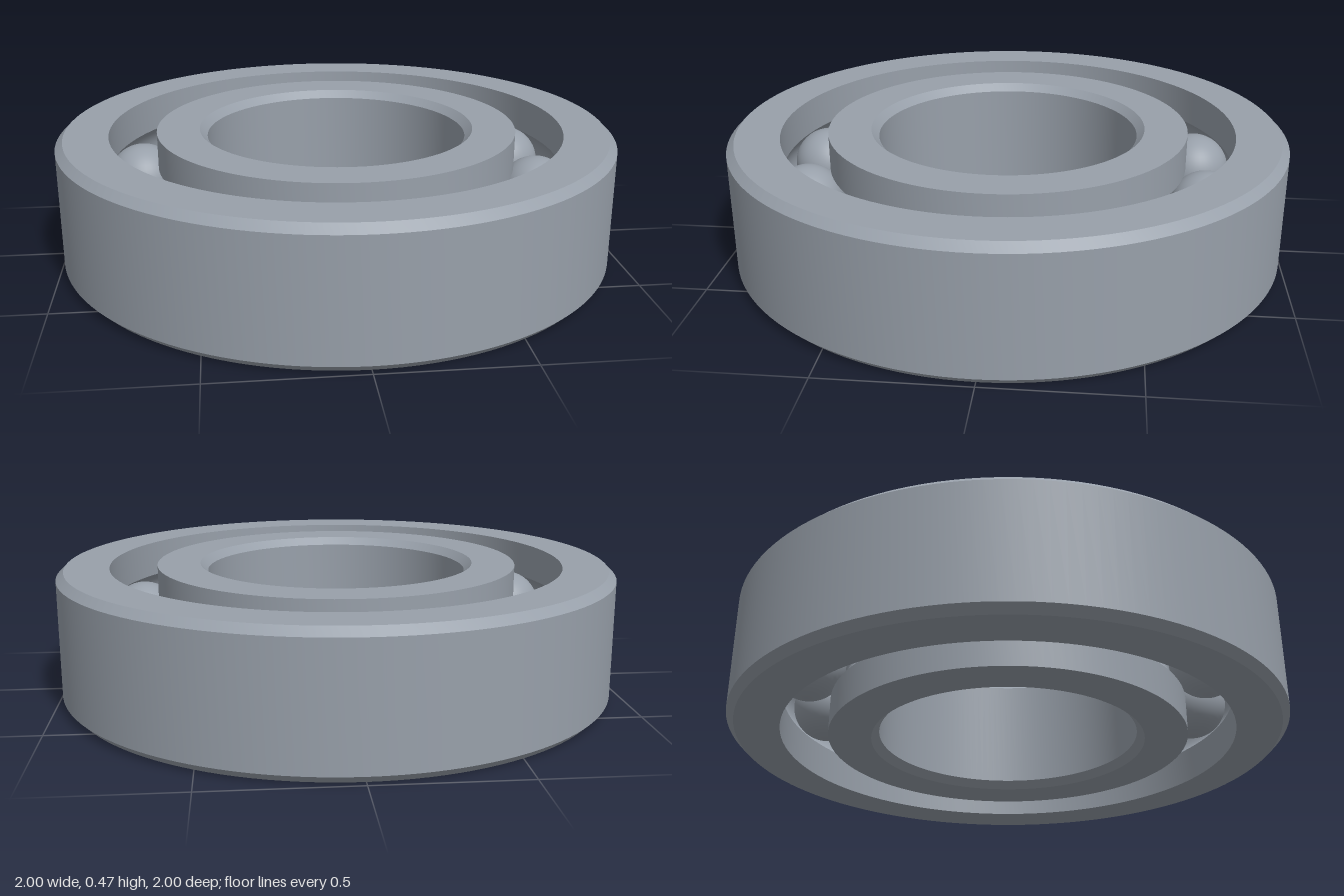
import * as THREE from 'three';
import { toCreasedNormals } from 'three/addons/utils/BufferGeometryUtils.js';

const HEIGHT = 0.467, MID = HEIGHT / 2;
const CHAMFER = 0.027;
const PITCH = 0.731;        // radius of the circle of ball centres
const BALL = 0.13;
const GROOVE = 0.133;       // raceway radius, slightly larger than the balls
const GAP = 0.084;          // half the space between the two rings
const BALL_COUNT = 12;

// Raceway arc from one ring edge to the other, about the ball centre
function raceway(facing) {
  const half = Math.acos(GAP / GROOVE), points = [], steps = 14;
  for (let i = 0; i <= steps; i++) {
    const a = facing + half - (2 * half * i) / steps;
    points.push([PITCH + GROOVE * Math.cos(a), MID + GROOVE * Math.sin(a)]);
  }
  return points;
}

// Turned ring from a closed anticlockwise profile, with sharp edges kept
function ring(name, profile, material) {
  const points = [...profile, profile[0]].map(([x, y]) => new THREE.Vector2(x, y));
  const mesh = new THREE.Mesh(toCreasedNormals(new THREE.LatheGeometry(points, 128), 0.5), material);
  mesh.name = name;
  return mesh;
}

export function createModel() {
  const steel = new THREE.MeshStandardMaterial({ color: 0x98a0aa });
  steel.name = 'steel';
  const group = new THREE.Group();
  group.name = 'ballBearing';

  // Outer ring, chamfered on its outside edges
  const outerLip = PITCH + GAP;
  group.add(ring('outerRing', [
    [1, CHAMFER], [1, HEIGHT - CHAMFER], [1 - CHAMFER, HEIGHT], [outerLip, HEIGHT],
    ...raceway(0),
    [outerLip, 0], [1 - CHAMFER, 0],
  ], steel));

  // Inner ring, chamfered around the bore
  const bore = 0.467, innerLip = PITCH - GAP;
  group.add(ring('innerRing', [
    [bore, HEIGHT - CHAMFER], [bore, CHAMFER], [bore + CHAMFER, 0], [innerLip, 0],
    ...raceway(Math.PI),
    [innerLip, HEIGHT], [bore + CHAMFER, HEIGHT],
  ], steel));

  // Balls spaced evenly around the raceway
  const balls = new THREE.Group();
  balls.name = 'balls';
  const ballGeometry = new THREE.SphereGeometry(BALL, 40, 28);
  for (let i = 0; i < BALL_COUNT; i++) {
    const angle = THREE.MathUtils.degToRad(12) + (i * 2 * Math.PI) / BALL_COUNT;
    const ball = new THREE.Mesh(ballGeometry, steel);
    ball.name = 'ball';
    ball.position.set(PITCH * Math.cos(angle), MID, PITCH * Math.sin(angle));
    balls.add(ball);
  }
  group.add(balls);
  return group;
}
